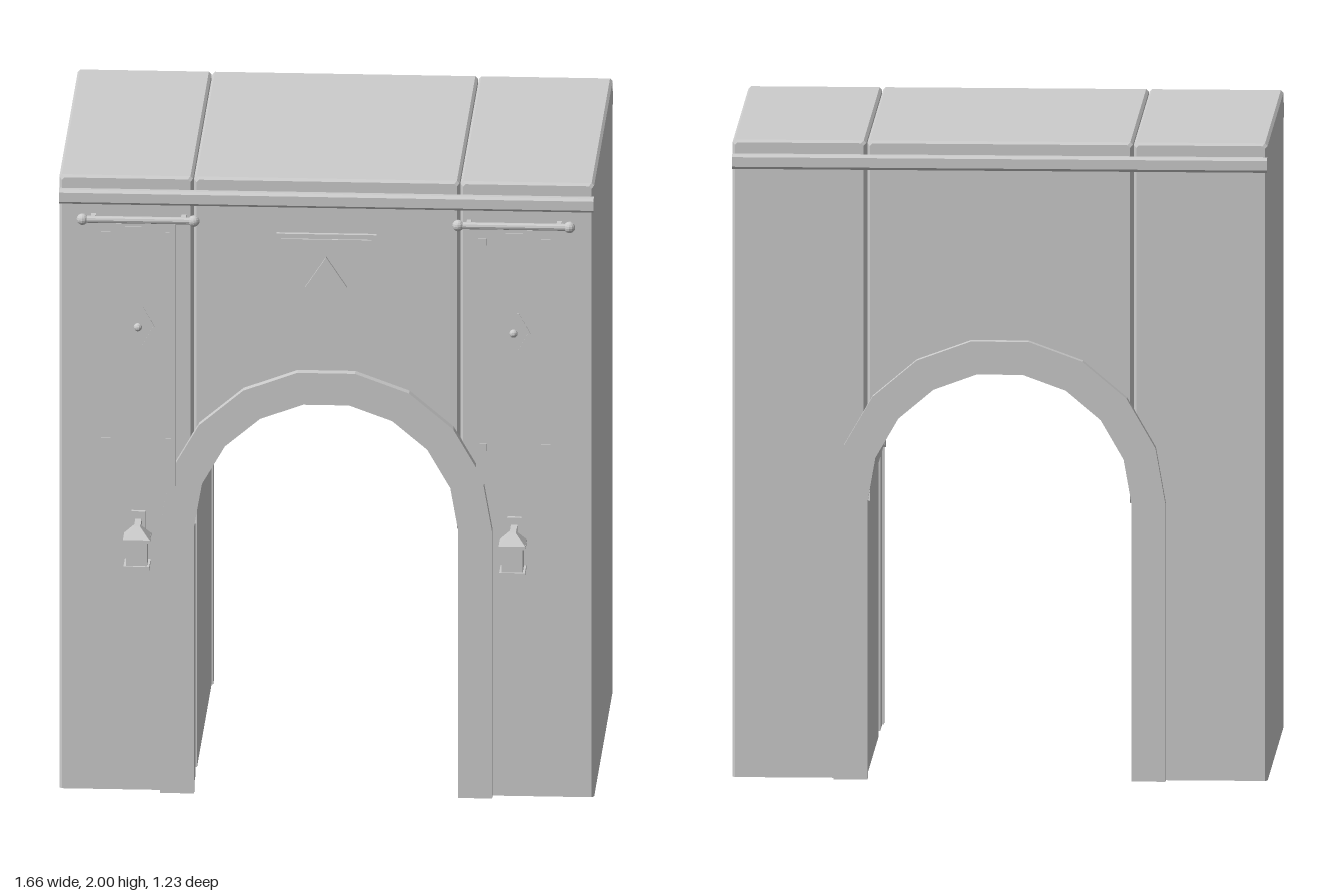
import * as THREE from 'three';

const stone = new THREE.MeshStandardMaterial({ color: 0xcccccc, side: THREE.DoubleSide, flatShading: true });
stone.name = 'stone';

const FRONT = 0.475, BACK = -0.585, SPRING = 0.87, BEVEL = 0.008;

function add(parent, name, geometry, x = 0, y = 0, z = 0) {
  const mesh = new THREE.Mesh(geometry, stone);
  mesh.name = name;
  mesh.position.set(x, y, z);
  parent.add(mesh);
  return mesh;
}

const box = (w, h, d) => new THREE.BoxGeometry(w, h, d);
const toShape = pts => new THREE.Shape(pts.map(p => new THREE.Vector2(p[0], p[1])));
const plate = (pts, depth) => new THREE.ExtrudeGeometry(toShape(pts), { depth, bevelEnabled: false });

// Half circle of nine flat segments, from +x over the top to -x
function arc(r) {
  const pts = [];
  for (let i = 0; i <= 9; i++) {
    const a = i * Math.PI / 9;
    pts.push([r * Math.cos(a), SPRING + r * Math.sin(a)]);
  }
  return pts;
}

// Surface from a list of four-cornered faces
function quads(list) {
  const pos = [];
  for (const [a, b, c, d] of list) pos.push(...a, ...b, ...c, ...a, ...c, ...d);
  const g = new THREE.BufferGeometry();
  g.setAttribute('position', new THREE.Float32BufferAttribute(pos, 3));
  g.computeVertexNormals();
  return g;
}

// Walls running from back to front with chamfered ends; outline(inset) gives an xy polyline
function loft(outline) {
  const rings = [[BEVEL, BACK], [0, BACK + BEVEL], [0, FRONT - BEVEL], [BEVEL, FRONT]]
    .map(([inset, z]) => outline(inset).map(p => [p[0], p[1], z]));
  const faces = [];
  for (let r = 0; r < 3; r++) {
    for (let i = 0; i < rings[0].length - 1; i++) {
      faces.push([rings[r][i], rings[r][i + 1], rings[r + 1][i + 1], rings[r + 1][i]]);
    }
  }
  return quads(faces);
}

// Hollow pier, open underneath, with a vertical slot in the passage wall
function pier(parent, s) {
  const g = new THREE.Group();
  g.name = s > 0 ? 'leftPier' : 'rightPier';
  parent.add(g);
  const x0 = 0.415, x1 = 0.83, c = BEVEL;
  const outline = i => [
    [x1 - i, 0], [x1 - i, 2 - c - i], [x1 - c - i, 2 - i],
    [x0 + c + i, 2 - i], [x0 + i, 2 - c - i], [x0 + i, SPRING],
  ].map(([x, y]) => [x * s, y]);
  add(g, 'pierWalls', loft(outline));
  const face = [...outline(BEVEL), [(x0 + BEVEL) * s, 0]];
  add(g, 'pierFront', new THREE.ShapeGeometry(toShape(face)), 0, 0, FRONT);
  add(g, 'pierBack', new THREE.ShapeGeometry(toShape(face)).rotateY(Math.PI).scale(-1, 1, 1), 0, 0, BACK);

  const a = x0 * s, b = 0.475 * s, h = SPRING, z0 = 0.24, z1 = 0.34;
  const wall = (xa, za, xb, zb) => [[xa, 0, za], [xb, 0, zb], [xb, h, zb], [xa, h, za]];
  add(g, 'passageWall', quads([
    wall(a, BACK, a, z0), wall(a, z0, b, z0), wall(b, z0, b, z1),
    wall(b, z1, a, z1), wall(a, z1, a, FRONT),
    [[a, h, z0], [b, h, z0], [b, h, z1], [a, h, z1]],
  ]));
}

// Arch ring with jambs down to the ground
function archTrim(parent, name, z, depth) {
  const outer = [[0.515, 0], ...arc(0.515), [-0.515, 0]];
  const inner = [[0.41, 0], ...arc(0.41), [-0.41, 0]].reverse();
  add(parent, name, plate([...outer, ...inner], depth), 0, 0, z);
}

// Chamfered ledge across the full width
function cornice(parent, name, zMid) {
  const w = 0.017, h = 0.023, c = 0.008;
  const section = [[-w + c, -h], [w - c, -h], [w, -h + c], [w, h - c],
    [w - c, h], [-w + c, h], [-w, h - c], [-w, -h + c]];
  const g = plate(section, 1.66);
  g.translate(0, 0, -0.83).rotateY(Math.PI / 2);
  add(parent, name, g, 0, 1.935, zMid);
}

// Swallow-tailed cloth on a rod
function banner(parent, x) {
  const g = new THREE.Group();
  g.name = 'banner';
  g.position.x = x;
  parent.add(g);
  const cloth = [[-0.117, 1.86], [-0.117, 1.005], [0, 1.12], [0.117, 1.005], [0.117, 1.86]];
  add(g, 'cloth', plate(cloth, 0.006), 0, 0, 0.514);
  add(g, 'clothFold', box(0.08, 0.7, 0.004), 0, 1.5, 0.521);
  for (const y of [1.82, 1.15]) {
    for (const s of [-1, 1]) add(g, 'clothBand', box(0.03, 0.024, 0.003), s * 0.1, y, 0.521);
  }
  add(g, 'rod', new THREE.CylinderGeometry(0.011, 0.011, 0.35, 10).rotateZ(Math.PI / 2), 0, 1.87, 0.515);
  for (const s of [-1, 1]) {
    add(g, 'rodEnd', new THREE.SphereGeometry(0.018, 12, 8), s * 0.173, 1.87, 0.515);
    add(g, 'rodBracket', box(0.015, 0.015, 0.045), s * 0.14, 1.87, 0.493);
  }
  // Emblem: a stud and a chevron
  add(g, 'stud', new THREE.SphereGeometry(0.013, 10, 8), 0, 1.525, 0.528);
  add(g, 'chevron', plate([[0.01, 1.59], [0.045, 1.525], [0.01, 1.46], [0.016, 1.46],
    [0.052, 1.525], [0.016, 1.59]], 0.004), 0, 0, 0.521);
}

// Square lantern on a wall arm
function lantern(parent, x) {
  const g = new THREE.Group();
  g.name = 'lantern';
  g.position.x = x;
  parent.add(g);
  const z = 0.575;
  const prism = (top, bottom, h) =>
    new THREE.CylinderGeometry(top * Math.SQRT1_2, bottom * Math.SQRT1_2, h, 4).rotateY(Math.PI / 4);
  add(g, 'wallPlate', box(0.044, 0.08, 0.014), 0, 0.872, 0.482);
  add(g, 'arm', box(0.02, 0.018, 0.1), 0, 0.88, 0.53);
  add(g, 'base', box(0.08, 0.012, 0.08), 0, 0.766, z);
  add(g, 'body', box(0.066, 0.08, 0.066), 0, 0.81, z);
  add(g, 'eave', box(0.084, 0.01, 0.084), 0, 0.853, z);
  add(g, 'roof', prism(0.02, 0.084, 0.037), 0, 0.876, z);
}

export function createModel() {
  const model = new THREE.Group();
  model.name = 'gatehouse';

  for (const s of [1, -1]) pier(model, s);

  // Middle block over the vaulted passage
  const centre = i => {
    const w = 0.412 - i, c = BEVEL;
    return [...arc(0.415), [-w, SPRING], [-w, 2 - c - i], [-w + c, 2 - i],
      [w - c, 2 - i], [w, 2 - c - i], [w, SPRING]];
  };
  add(model, 'vaultBlock', loft(centre));
  const faceShape = [...arc(0.415), [-0.404, 0.95], [-0.404, 1.984], [-0.396, 1.992],
    [0.396, 1.992], [0.404, 1.984], [0.404, 0.95]];
  add(model, 'blockFront', new THREE.ShapeGeometry(toShape(faceShape)), 0, 0, FRONT);
  add(model, 'blockBack', new THREE.ShapeGeometry(toShape(faceShape)).rotateY(Math.PI), 0, 0, BACK);

  archTrim(model, 'frontArch', FRONT - 0.005, 0.035);
  archTrim(model, 'backArch', -0.616, 0.036);
  cornice(model, 'frontCornice', 0.483);
  cornice(model, 'backCornice', -0.597);

  // Shield with a raised field and diamond
  const shield = k => [[-k, 1.67 + k], [-k, 1.63 - (0.155 - k) * 0.4], [0, 1.455 + (0.155 - k) * 1.3],
    [k, 1.63 - (0.155 - k) * 0.4], [k, 1.67 + k]];
  add(model, 'shield', plate(shield(0.155), 0.016), 0, 0, FRONT - 0.002);
  add(model, 'shieldField', plate(shield(0.14), 0.02), 0, 0, FRONT);
  add(model, 'shieldDiamond', plate([[0, 1.56], [0.065, 1.657], [0, 1.755], [-0.065, 1.657]], 0.03), 0, 0, FRONT);

  for (const s of [1, -1]) {
    banner(model, s * 0.583);
    lantern(model, s * 0.583);
  }
  return model;
}
